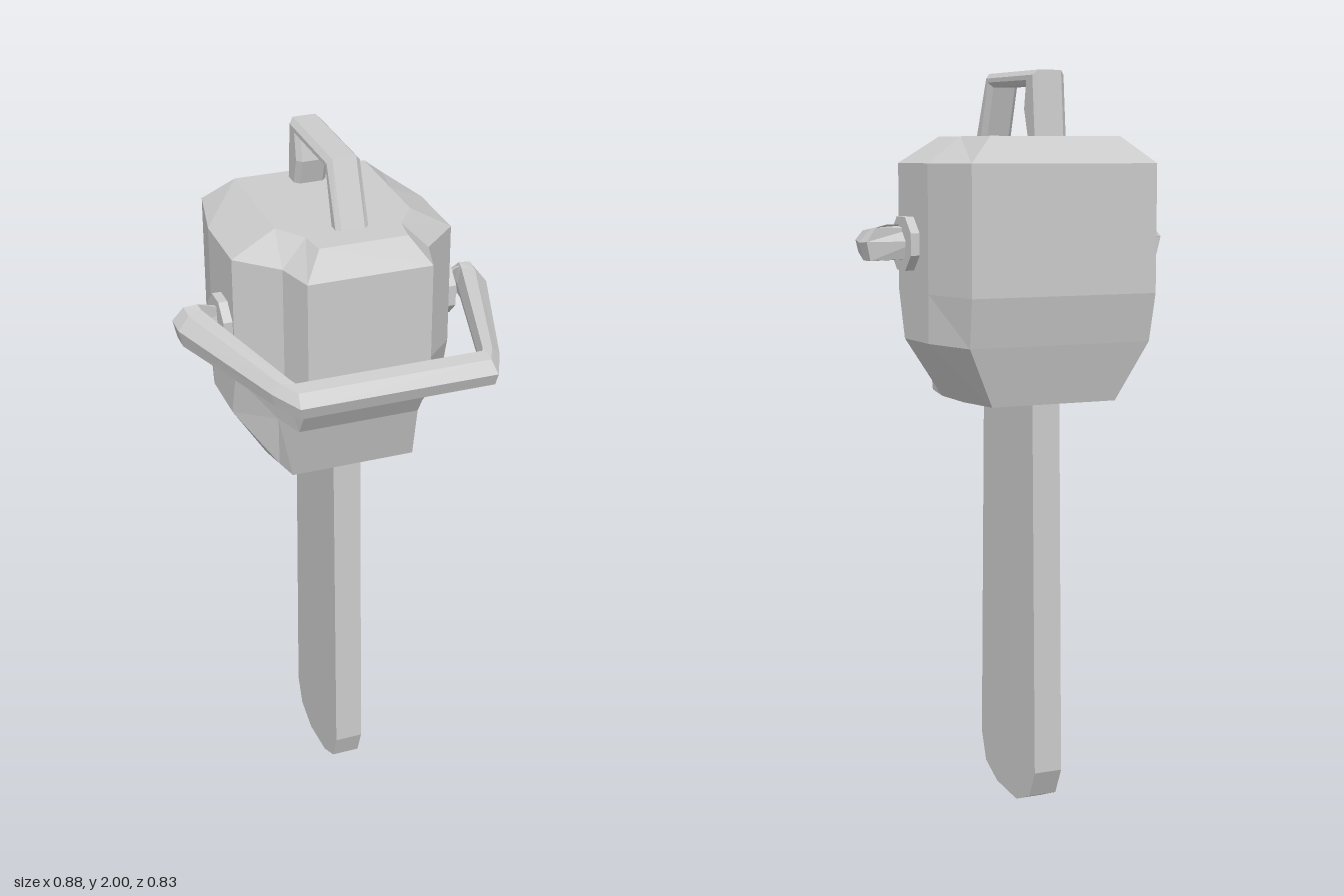
import * as THREE from 'three';

const material = new THREE.MeshStandardMaterial({ color: 0xcccccc, flatShading: true });

function addMesh(parent, name, geometry) {
  const mesh = new THREE.Mesh(geometry, material);
  mesh.name = name;
  parent.add(mesh);
  return mesh;
}

// Skin between equal-length rings (clockwise about the direction of travel)
function loft(rings, capped) {
  const n = rings[0].length;
  const pos = [];
  const put = (...points) => points.forEach((p) => pos.push(...p));
  for (let k = 0; k + 1 < rings.length; k++) {
    for (let i = 0; i < n; i++) {
      const j = (i + 1) % n;
      const [a, b, c, d] = [rings[k][i], rings[k][j], rings[k + 1][j], rings[k + 1][i]];
      put(a, d, c, a, c, b);
    }
  }
  if (capped) {
    [[rings[0], false], [rings[rings.length - 1], true]].forEach(([ring, top]) => {
      const outline = ring.map(([x, , z]) => new THREE.Vector2(x, z));
      for (const tri of THREE.ShapeUtils.triangulateShape(outline, [])) {
        const [a, b, c] = [...tri].sort((p, q) => p - q).map((i) => ring[i]);
        if (top) put(a, c, b);
        else put(a, b, c);
      }
    });
  }
  const geometry = new THREE.BufferGeometry();
  geometry.setAttribute('position', new THREE.Float32BufferAttribute(pos, 3));
  geometry.computeVertexNormals();
  return geometry;
}

// Extrusion of a (z, y) outline, centred across x
function sideExtrude(outline, hole, width, bevel) {
  const toPoints = (list) => list.map(([z, y]) => new THREE.Vector2(-z, y));
  const shape = new THREE.Shape(toPoints(outline));
  if (hole) shape.holes.push(new THREE.Path(toPoints(hole)));
  const depth = width - 2 * bevel;
  const geometry = new THREE.ExtrudeGeometry(shape, {
    depth, bevelEnabled: bevel > 0, bevelSize: bevel, bevelThickness: bevel,
    bevelOffset: -bevel, bevelSegments: 1,
  });
  geometry.translate(0, 0, -depth / 2);
  geometry.rotateY(Math.PI / 2);
  return geometry;
}

export function createModel() {
  const group = new THREE.Group();

  // Motor housing: half outlines [x, z] from back to front at each height
  const wide = [[0.265, -0.415], [0.305, -0.22], [0.305, -0.01], [0.2, 0.09], [0.17, 0.197]];
  const levels = [
    [1.13, [[0.18, -0.35], [0.205, -0.22], [0.205, -0.07], [0.19, 0.0], [0.175, 0.07]]],
    [1.29, [[0.26, -0.39], [0.305, -0.22], [0.305, -0.05], [0.2, 0.03], [0.17, 0.115]]],
    [1.42, wide],
    [1.76, wide],
    [1.83, [[0.187, -0.355], [0.187, -0.16], [0.187, -0.01], [0.13, 0.07], [0.12, 0.145]]],
  ];
  const housingRings = levels.map(([y, half]) => [
    ...half.map(([x, z]) => [x, y, z]),
    ...[...half].reverse().map(([x, z]) => [-x, y, z]),
  ]);
  addMesh(group, 'motorHousing', loft(housingRings, true));

  // Flat guide bar with a blunt rounded tip
  const bar = [[0.02, 1.16], [0.038, 0.13], [0.008, 0.05], [-0.07, 0.012], [-0.2, 0],
    [-0.285, 0.035], [-0.32, 0.11], [-0.298, 1.16]];
  addMesh(group, 'guideBar', sideExtrude(bar, null, 0.08, 0));

  // Grip on top of the housing
  const grip = [[0.075, 1.81], [0, 2], [-0.315, 2], [-0.332, 1.81], [-0.268, 1.81],
    [-0.24, 1.9], [-0.252, 1.963], [-0.028, 1.963], [0.02, 1.81]];
  addMesh(group, 'topGrip', sideExtrude(grip, null, 0.09, 0.013));

  // Round mounts on both sides
  for (const side of [1, -1]) {
    const mount = addMesh(group, side > 0 ? 'leftMount' : 'rightMount',
      new THREE.CylinderGeometry(0.077, 0.077, 0.06, 8));
    mount.geometry.rotateY(Math.PI / 8);
    mount.geometry.rotateZ(Math.PI / 2);
    mount.position.set(side * 0.3, 1.548, -0.09);
  }

  // Front handle loop: outer and inner [x, z], height, half thickness
  const stations = [
    [[0.29, -0.125], [0.29, -0.04], 1.55, 0.045],
    [[0.44, -0.125], [0.365, -0.105], 1.55, 0.05],
    [[0.44, -0.065], [0.362, -0.085], 1.547, 0.048],
    [[0.31, 0.32], [0.252, 0.322], 1.537, 0.035],
    [[0.265, 0.415], [0.25, 0.327], 1.535, 0.035],
  ];
  // Section as [position from inner 0 to outer 1, height]
  const section = [[1, 0.1], [0.85, -0.9], [0.12, -0.9], [0, 0], [0.12, 1], [0.6, 0.85]];
  const handleRing = ([outer, inner, y, h], side) => section.map(([t, v]) => [
    side * THREE.MathUtils.lerp(inner[0], outer[0], t),
    y + v * h,
    THREE.MathUtils.lerp(inner[1], outer[1], t),
  ]);
  const handleRings = [
    ...stations.map((s) => handleRing(s, 1)),
    ...[...stations].reverse().map((s) => handleRing(s, -1)),
  ];
  addMesh(group, 'frontHandle', loft(handleRings, false));

  return group;
}
